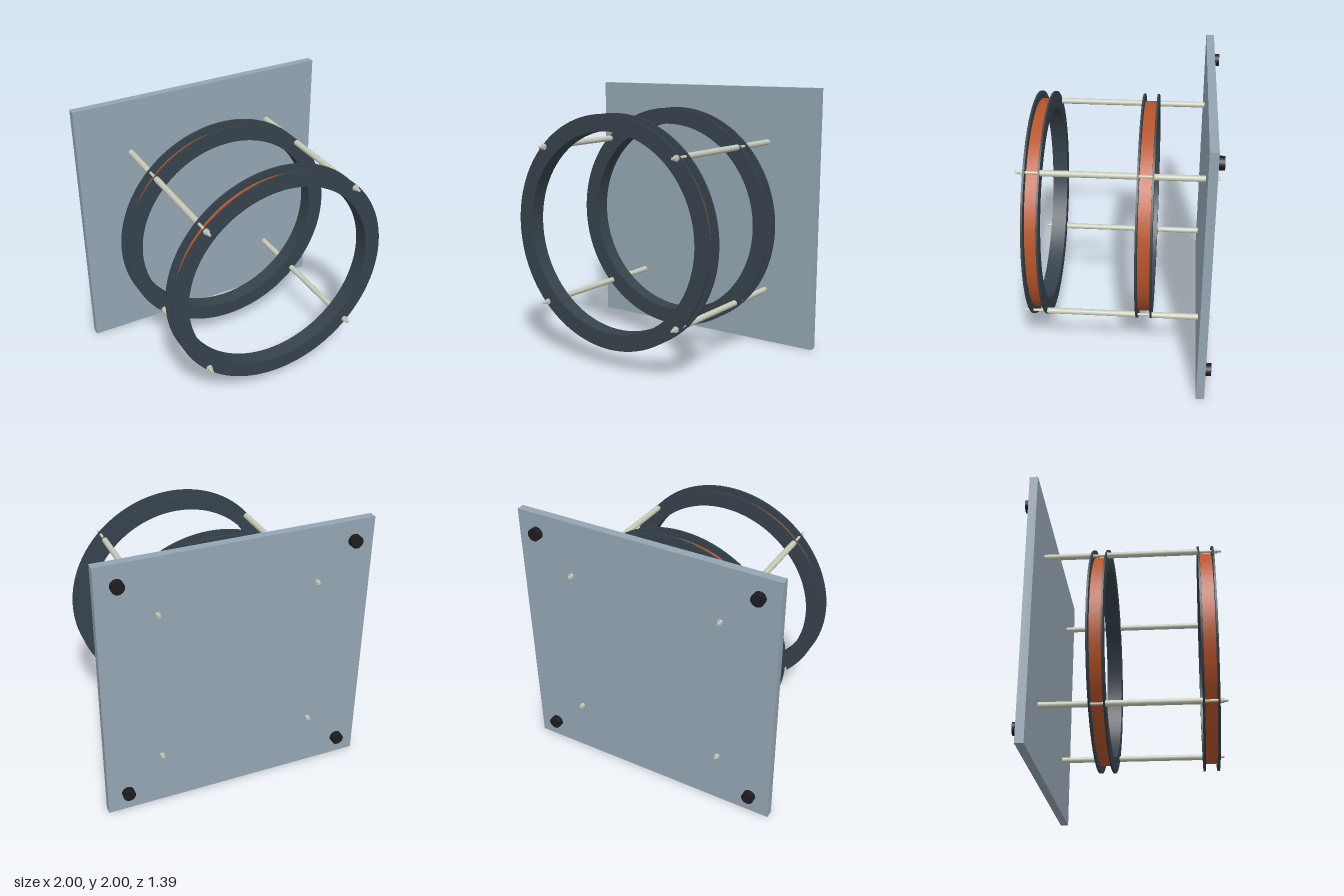
import * as THREE from 'three';
import { toCreasedNormals } from 'three/addons/utils/BufferGeometryUtils.js';

const mat = (color) => new THREE.MeshStandardMaterial({ color });

export function createModel() {
  const model = new THREE.Group();
  model.name = 'coilPairStand';
  const plateMat = mat(0x94a5b2), spoolMat = mat(0x36424b), copperMat = mat(0xb8552a);
  const metalMat = mat(0xc6cab8), rubberMat = mat(0x1c1c20);

  const add = (parent, name, geometry, material, x, y, z) => {
    const mesh = new THREE.Mesh(geometry, material);
    mesh.name = name;
    mesh.position.set(x, y, z);
    parent.add(mesh);
    return mesh;
  };

  // Flat ring centred on z = 0, axis along z
  const ring = (outer, inner, depth) => {
    const shape = new THREE.Shape().absarc(0, 0, outer, 0, Math.PI * 2, false);
    shape.holes.push(new THREE.Path().absarc(0, 0, inner, 0, Math.PI * 2, true));
    const g = new THREE.ExtrudeGeometry(shape, { depth, bevelEnabled: false, curveSegments: 96 });
    return toCreasedNormals(g.translate(0, 0, -depth / 2), 0.5);
  };

  // Cylinder along z between two depths
  const rod = (parent, name, r, z0, z1, material, x, y, sides = 24) => {
    const g = new THREE.CylinderGeometry(r, r, Math.abs(z1 - z0), sides).rotateX(Math.PI / 2);
    return add(parent, name, sides === 6 ? toCreasedNormals(g, 0.5) : g, material, x, y, (z0 + z1) / 2);
  };

  // Back plate
  add(model, 'backPlate', new THREE.BoxGeometry(2, 2, 0.06), plateMat, 0, 1, -0.62);

  // Two coils: core, winding and a flange on either side
  for (const [name, z] of [['frontCoil', 0.582], ['rearCoil', -0.19]]) {
    const coil = new THREE.Group();
    coil.name = name;
    coil.position.set(0, 1, z);
    add(coil, 'spoolCore', ring(0.755, 0.725, 0.092), spoolMat, 0, 0, 0);
    add(coil, 'copperWinding', ring(0.79, 0.75, 0.084), copperMat, 0, 0, 0);
    for (const s of [-1, 1]) {
      add(coil, 'flange', ring(0.845, 0.725, 0.014), spoolMat, 0, 0, s * 0.052);
    }
    model.add(coil);
  }

  // Four corners: tie rod with spacers and nuts, plus a foot on the back
  for (const sx of [-1, 1]) for (const sy of [-1, 1]) {
    const x = sx * 0.583, y = 1 + sy * 0.583;
    const post = new THREE.Group();
    post.name = 'tieRodAssembly';
    rod(post, 'threadedRod', 0.01, -0.688, 0.695, metalMat, x, y);
    rod(post, 'longSpacer', 0.022, -0.131, 0.523, metalMat, x, y);
    rod(post, 'shortSpacer', 0.022, -0.59, -0.249, metalMat, x, y);
    rod(post, 'frontWasher', 0.022, 0.641, 0.648, metalMat, x, y);
    rod(post, 'frontNut', 0.018, 0.648, 0.667, metalMat, x, y, 6);
    rod(post, 'rearNut', 0.018, -0.672, -0.65, metalMat, x, y, 6);
    model.add(post);
    rod(model, 'foot', 0.046, -0.695, -0.65, rubberMat, sx * 0.85, 1 + sy * 0.85);
  }
  return model;
}
